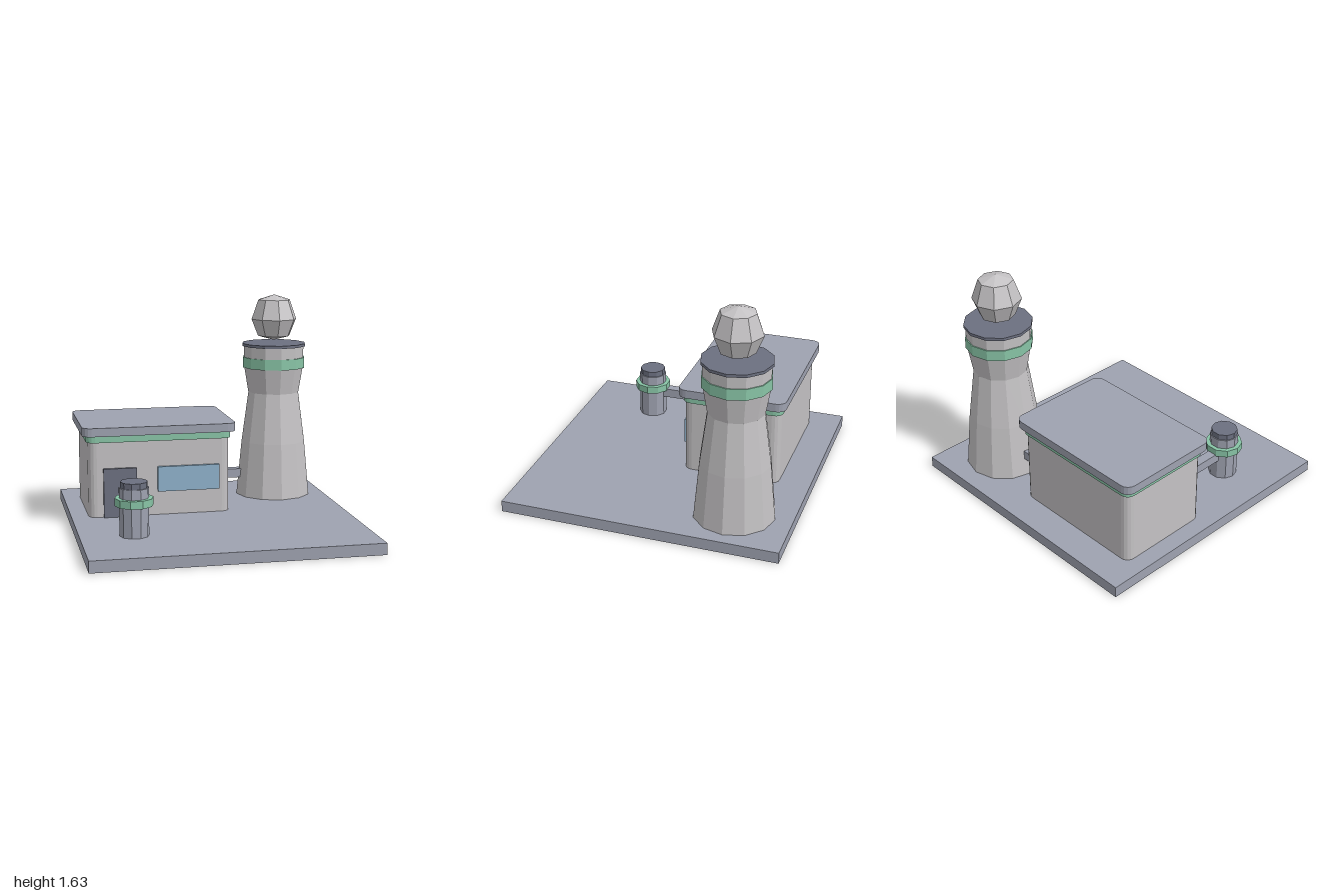
import * as THREE from 'three';

const mat = (name, color) => {
  const m = new THREE.MeshStandardMaterial({ color });
  m.name = name;
  m.flatShading = true;
  return m;
};

export function createModel() {
  const wall = mat('warm grey wall', 0xc4c2c4);
  const slate = mat('blue grey slab', 0x9ea2b0);
  const dark = mat('dark grey', 0x6c7080);
  const green = mat('green trim', 0x88c4a6);
  const glass = mat('blue glass', 0x8fb2cc);

  const model = new THREE.Group();
  model.name = 'outpost';

  const group = (name, x, z) => {
    const g = new THREE.Group();
    g.name = name;
    g.position.set(x, 0, z);
    model.add(g);
    return g;
  };
  const add = (parent, name, geometry, material) => {
    const mesh = new THREE.Mesh(geometry, material);
    mesh.name = name;
    parent.add(mesh);
    return mesh;
  };
  // Box given by its limits on each axis
  const box = (parent, name, [x0, x1], [y0, y1], [z0, z1], material) =>
    add(parent, name, new THREE.BoxGeometry(x1 - x0, y1 - y0, z1 - z0), material)
      .position.set((x0 + x1) / 2, (y0 + y1) / 2, (z0 + z1) / 2);
  // Faceted drum with corners on the x axis
  const drum = (parent, name, r, y0, y1, sides, material) => {
    const g = new THREE.CylinderGeometry(r, r, y1 - y0, sides);
    g.rotateY(Math.PI / 2);
    add(parent, name, g, material).position.y = (y0 + y1) / 2;
  };
  const lathe = (parent, name, points, sides, material) =>
    add(parent, name, new THREE.LatheGeometry(points.map(p => new THREE.Vector2(...p)), sides), material);
  // Upright slab with rounded corners in plan
  const roundedSlab = (parent, name, hx, hz, r, y0, y1, material) => {
    const s = new THREE.Shape();
    s.moveTo(hx, -hz + r);
    s.absarc(hx - r, hz - r, r, 0, Math.PI / 2);
    s.absarc(-hx + r, hz - r, r, Math.PI / 2, Math.PI);
    s.absarc(-hx + r, -hz + r, r, Math.PI, Math.PI * 1.5);
    s.absarc(hx - r, -hz + r, r, Math.PI * 1.5, Math.PI * 2);
    const g = new THREE.ExtrudeGeometry(s, { depth: y1 - y0, bevelEnabled: false, curveSegments: 2 });
    g.rotateX(-Math.PI / 2);
    add(parent, name, g, material).position.y = y0;
  };

  // Ground slab
  box(model, 'base', [-1, 1], [0, 0.082], [-1, 1], slate);

  // Building
  const house = group('building', -0.357, -0.418);
  roundedSlab(house, 'walls', 0.518, 0.354, 0.06, 0.08, 0.635, wall);
  roundedSlab(house, 'trim', 0.53, 0.366, 0.06, 0.63, 0.682, green);
  roundedSlab(house, 'roof', 0.56, 0.393, 0.064, 0.68, 0.742, slate);
  box(model, 'door', [-0.77, -0.53], [0.08, 0.44], [-0.07, -0.042], dark);
  box(model, 'window', [-0.375, 0.08], [0.257, 0.44], [-0.07, -0.042], glass);

  // Connecting ducts
  box(model, 'towerDuct', [0.14, 0.4], [0.215, 0.283], [-0.623, -0.553], slate);
  box(model, 'tankDuct', [-0.663, -0.593], [0.235, 0.303], [-0.065, 0.4], slate);

  // Tall tower
  const tower = group('tower', 0.623, -0.585);
  lathe(tower, 'towerShaft',
    [[0, 0.08], [0.29, 0.08], [0.25, 0.5], [0.198, 0.88], [0.232, 1.08], [0.235, 1.24], [0, 1.24]], 12, wall);
  drum(tower, 'towerBand', 0.241, 1.07, 1.15, 12, green);
  drum(tower, 'towerCap', 0.246, 1.235, 1.256, 12, dark);
  lathe(tower, 'beacon',
    [[0, 1.278], [0.124, 1.312], [0.176, 1.44], [0.124, 1.587], [0, 1.626]], 8, wall);

  // Small tank
  const tank = group('tank', -0.625, 0.455);
  drum(tank, 'tankBody', 0.103, 0.08, 0.418, 10, slate);
  drum(tank, 'tankBand', 0.134, 0.294, 0.348, 10, green);
  drum(tank, 'tankCap', 0.095, 0.418, 0.46, 10, dark);

  return model;
}
